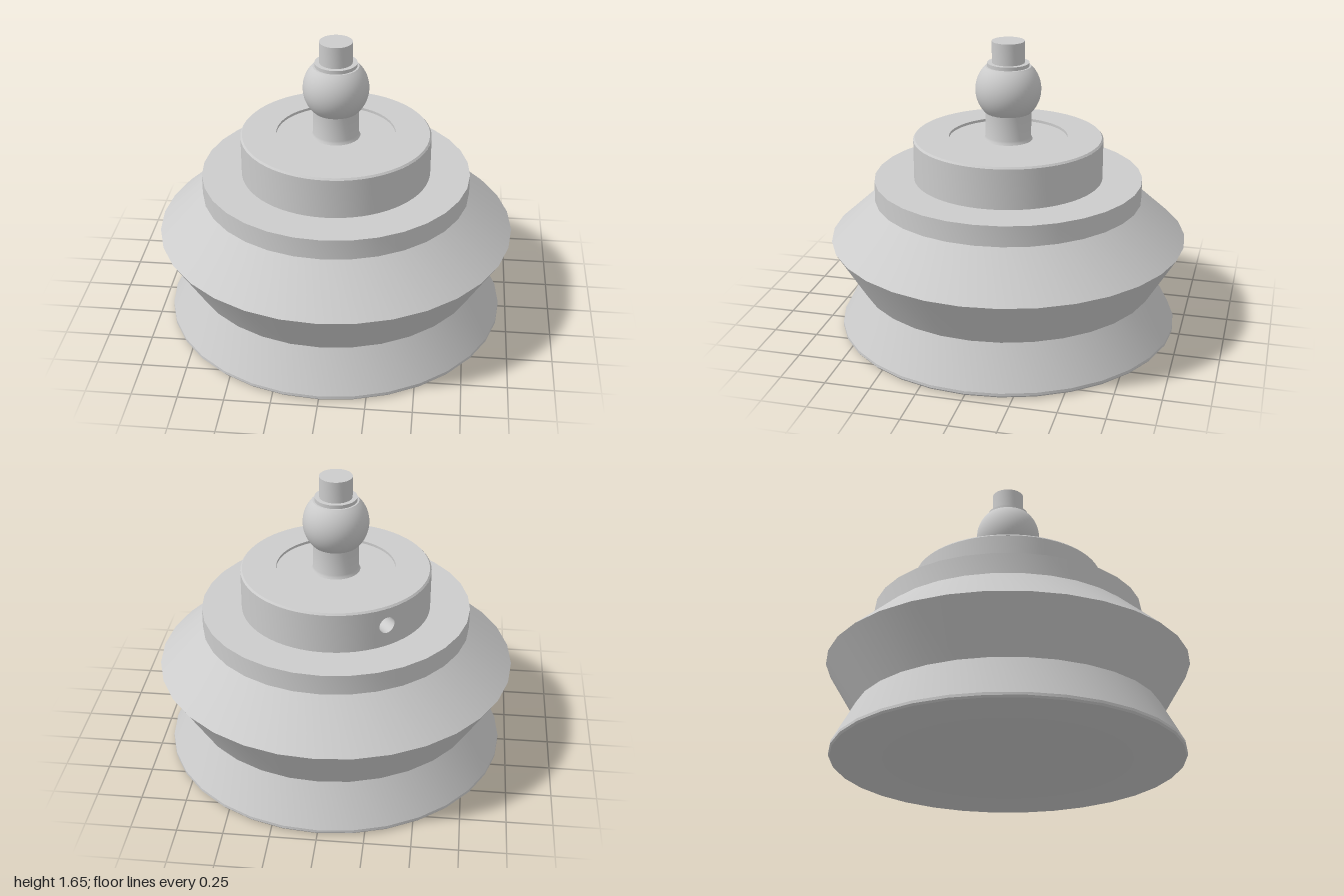
import * as THREE from 'three';
import { toCreasedNormals } from 'three/addons/utils/BufferGeometryUtils.js';

const material = new THREE.MeshStandardMaterial({ color: 0xcccccc });
const openMaterial = new THREE.MeshStandardMaterial({ color: 0xcccccc, side: THREE.DoubleSide });

function addMesh(parent, name, geometry, mat = material) {
  const mesh = new THREE.Mesh(geometry, mat);
  mesh.name = name;
  parent.add(mesh);
  return mesh;
}

// Turned part from [radius, height] pairs listed from bottom to top
function turned(profile, segments, start = 0, length = Math.PI * 2) {
  const points = profile.map(([r, y]) => new THREE.Vector2(r, y));
  return toCreasedNormals(new THREE.LatheGeometry(points, segments, start, length), 0.4);
}

export function createModel() {
  const model = new THREE.Group();
  model.name = 'bellowsSuctionCup';

  // Folded cup with a rounded lip, a waist and a wide fold
  addMesh(model, 'bellowsCup', turned([
    [0, 0], [0.935, 0], [0.95, 0.005], [0.958, 0.015], [0.957, 0.03],
    [0.835, 0.26], [1, 0.535], [0.75, 0.76], [0.75, 0.875], [0, 0.875],
  ], 32));

  // Collar: the wall leaves a gap for a patch that carries the side port
  const collar = new THREE.Group();
  collar.name = 'collar';
  model.add(collar);
  const R = 0.528, low = 0.875, high = 1.1;
  const portAngle = Math.PI + 0.64, half = 0.14;
  addMesh(collar, 'collarWall',
    turned([[R, low], [R, high]], 64, portAngle + half, Math.PI * 2 - 2 * half));
  addMesh(collar, 'collarTop', turned([
    [R, high], [0.519, 1.11], [0.33, 1.11], [0.33, 1.095], [0, 1.095],
  ], 64));

  // Patch drawn flat as arc length by height, then bent round the collar
  const shape = new THREE.Shape();
  const steps = 8;
  for (let i = 0; i <= steps; i++) {
    const s = R * half * (2 * i / steps - 1);
    if (i) shape.lineTo(s, low); else shape.moveTo(s, low);
  }
  for (let i = steps; i >= 0; i--) shape.lineTo(R * half * (2 * i / steps - 1), high);
  const portRadius = 0.047, portY = 1.0;
  shape.holes.push(new THREE.Path().absarc(0, portY, portRadius, 0, Math.PI * 2, true));
  const patch = new THREE.ShapeGeometry(shape, 12);
  const pos = patch.attributes.position, normal = patch.attributes.normal;
  for (let i = 0; i < pos.count; i++) {
    const a = pos.getX(i) / R + portAngle;
    pos.setXYZ(i, R * Math.sin(a), pos.getY(i), R * Math.cos(a));
    normal.setXYZ(i, Math.sin(a), 0, Math.cos(a));
  }
  addMesh(collar, 'portSurround', patch);

  // Blind bore behind the port
  const port = new THREE.Group();
  port.name = 'sidePort';
  port.position.y = portY;
  port.rotation.y = portAngle;
  collar.add(port);
  const depth = 0.16;
  const bore = new THREE.CylinderGeometry(portRadius, portRadius, depth, 24, 1, true);
  bore.rotateX(Math.PI / 2).translate(0, 0, R - 0.002 - depth / 2);
  addMesh(port, 'portBore', bore, openMaterial);
  addMesh(port, 'portFloor', new THREE.CircleGeometry(portRadius, 24)).position.z = R - depth;

  // Neck with a small fillet at its foot
  addMesh(model, 'neck', turned([
    [0.135, 1.095], [0.13, 1.105], [0.127, 1.115], [0.127, 1.255],
  ], 32));

  // Ball, cut flat at both ends
  const ball = [];
  const ballRadius = 0.181, limit = Math.asin(0.13 / ballRadius);
  for (let i = 0; i <= 20; i++) {
    const a = limit * (i / 10 - 1);
    ball.push([ballRadius * Math.cos(a), 1.38 + ballRadius * Math.sin(a)]);
  }
  addMesh(model, 'ball', turned([[0, 1.25], ...ball, [0, 1.51]], 48));

  // Flange and pin on top of the ball
  addMesh(model, 'flange', turned([[0.116, 1.505], [0.116, 1.53], [0, 1.53]], 32));
  addMesh(model, 'pin', turned([[0.09, 1.53], [0.09, 1.65], [0, 1.65]], 32));

  return model;
}
